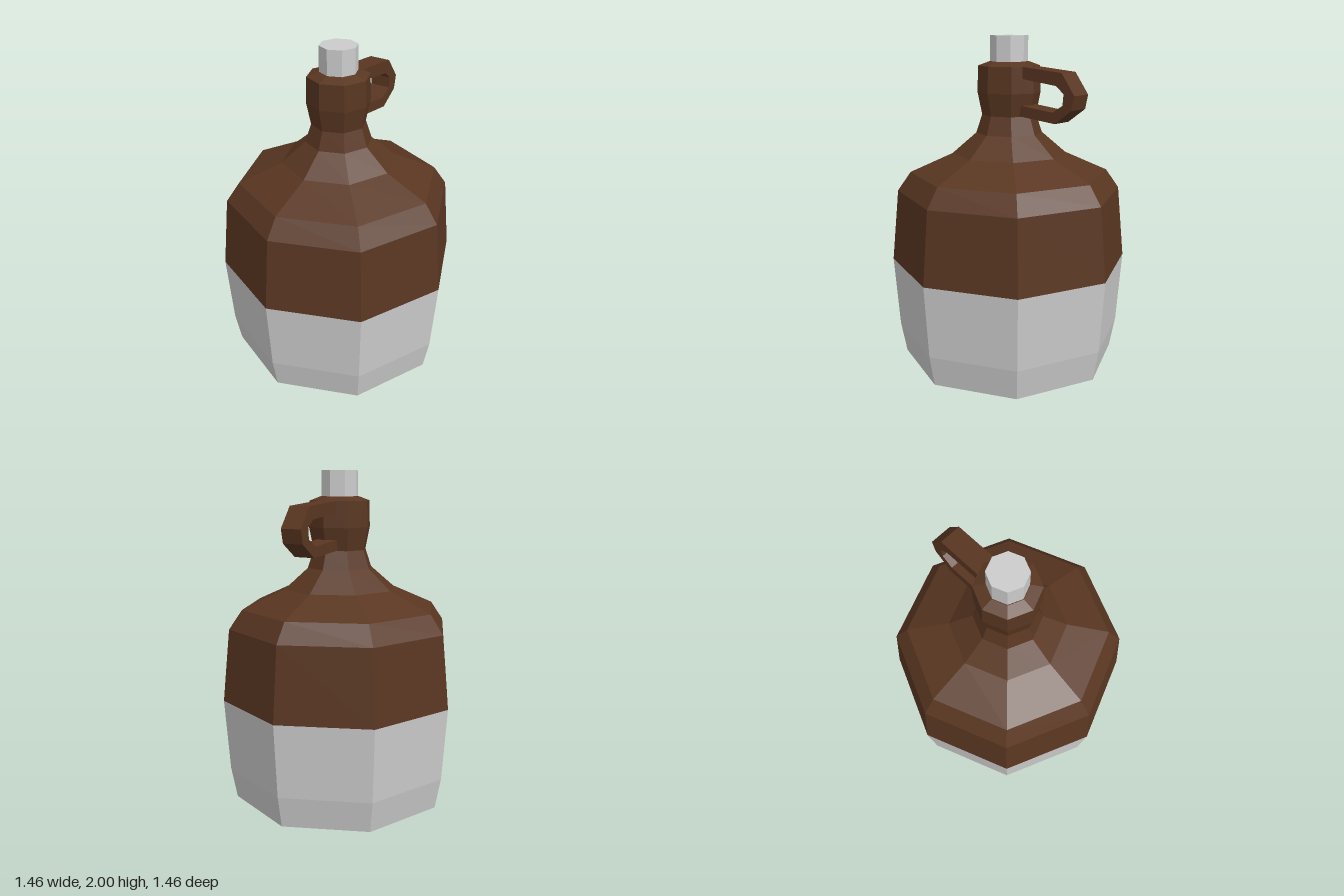
import * as THREE from 'three';

const SIDES = 8;
const glaze = new THREE.MeshStandardMaterial({ color: 0x593621, flatShading: true });
const grey = new THREE.MeshStandardMaterial({ color: 0xcccccc, flatShading: true });

function addMesh(group, name, geometry, material) {
  const flat = geometry.index ? geometry.toNonIndexed() : geometry;
  flat.computeVertexNormals();
  const mesh = new THREE.Mesh(flat, material);
  mesh.name = name;
  group.add(mesh);
}

// Faceted turned part from [radius, height] pairs, listed bottom to top
const turned = (profile) =>
  new THREE.LatheGeometry(profile.map(([r, y]) => new THREE.Vector2(r, y)), SIDES);

export function createModel() {
  const jug = new THREE.Group();
  jug.name = 'jug';

  // Unglazed lower body with a closed base
  addMesh(jug, 'lowerBody', turned([[0, 0], [0.665, 0], [0.7, 0.19], [0.73, 0.63]]), grey);

  // Glazed upper body, shoulder, neck and lip
  addMesh(jug, 'upperBody', turned([
    [0.73, 0.63], [0.685, 1.07], [0.605, 1.185], [0.345, 1.3], [0.2, 1.425],
    [0.163, 1.535], [0.19, 1.67], [0.185, 1.825], [0.117, 1.85], [0, 1.85],
  ]), glaze);

  // Stopper
  addMesh(jug, 'stopper', turned([[0.113, 1.84], [0.113, 2], [0, 2]]), grey);

  // Angular loop handle behind the neck: [distance back, height]
  const outline = [
    [0.12, 1.828], [0.44, 1.803], [0.53, 1.682], [0.512, 1.6], [0.397, 1.517], [0.12, 1.54],
    [0.12, 1.604], [0.38, 1.58], [0.45, 1.624], [0.456, 1.688], [0.403, 1.73], [0.12, 1.76],
  ];
  const shape = new THREE.Shape(outline.map(([d, y]) => new THREE.Vector2(d, y)));
  const width = 0.13;
  const handle = new THREE.ExtrudeGeometry(shape, { depth: width, bevelEnabled: false });
  handle.translate(0, 0, -width / 2).rotateY(Math.PI / 2);
  addMesh(jug, 'handle', handle, glaze);

  return jug;
}
